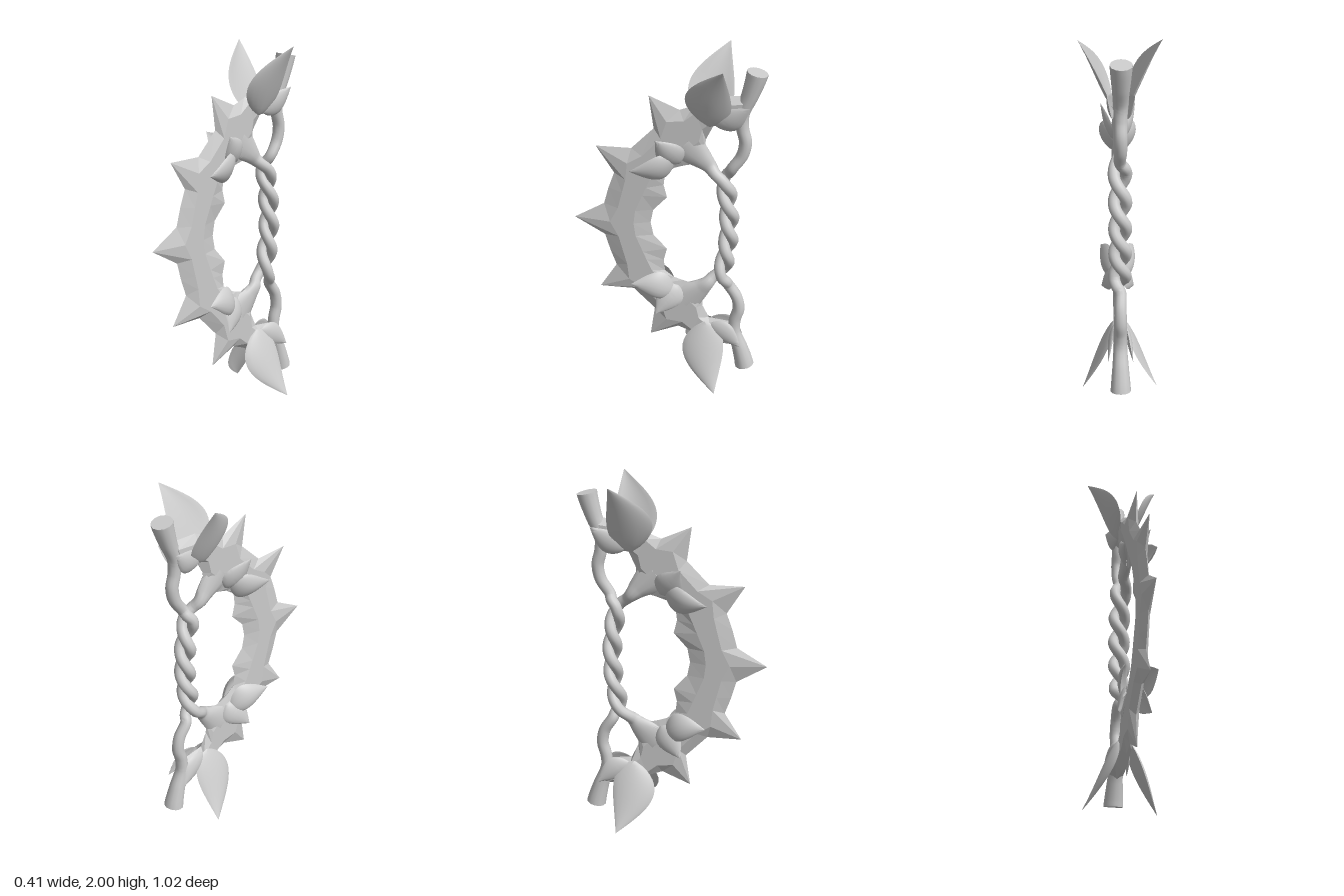
import * as THREE from 'three';
import { toCreasedNormals } from 'three/addons/utils/BufferGeometryUtils.js';

const V = (x, y, z) => new THREE.Vector3(x, y, z);
const { smoothstep, lerp } = THREE.MathUtils;

// Closed skin through equal-sized rings of points, capped at both ends
function loft(rings) {
  const n = rings[0].length, m = rings.length;
  const pts = rings.flat();
  const index = [];
  for (let i = 0; i < m - 1; i++) {
    for (let j = 0; j < n; j++) {
      const a = i * n + j, b = i * n + (j + 1) % n;
      index.push(a, b, a + n, b, b + n, a + n);
    }
  }
  [0, m - 1].forEach((r) => {
    const c = rings[r].reduce((s, p) => s.add(p), V(0, 0, 0)).divideScalar(n);
    const k = pts.push(c) - 1;
    for (let j = 0; j < n; j++) {
      const a = r * n + j, b = r * n + (j + 1) % n;
      if (r === 0) index.push(k, b, a);
      else index.push(k, a, b);
    }
  });
  // Turn the faces outward whichever way the rings run
  const mid = V(0, 1, 0), cross = V(0, 0, 0);
  let volume = 0;
  for (let i = 0; i < index.length; i += 3) {
    const [a, b, c] = [0, 1, 2].map((k) => pts[index[i + k]].clone().sub(mid));
    volume += a.dot(cross.crossVectors(b, c));
  }
  if (volume < 0) index.reverse();
  const geo = new THREE.BufferGeometry().setFromPoints(pts);
  geo.setIndex(index);
  return geo;
}

// Upper half of the thorned blade, from the middle up, as [z, y] pairs:
// outer edge, outer ridge, inner ridge, inner edge, then half thickness
const STATIONS = [
  [0.51, 1.0, 0.31, 1.0, 0.18, 1.0, 0.09, 1.0, 0.028],
  [0.345, 1.1, 0.265, 1.09, 0.17, 1.08, 0.075, 1.08, 0.028],
  [0.318, 1.2, 0.24, 1.19, 0.13, 1.18, 0.0, 1.165, 0.028],
  [0.285, 1.295, 0.22, 1.27, 0.11, 1.23, 0.018, 1.24, 0.028],
  [0.38, 1.45, 0.21, 1.37, 0.08, 1.3, 0.01, 1.31, 0.028],
  [0.19, 1.45, 0.13, 1.42, 0.02, 1.38, -0.04, 1.35, 0.028],
  [0.07, 1.575, 0.03, 1.53, -0.05, 1.44, -0.09, 1.367, 0.028],
  [0.095, 1.76, 0.0, 1.63, -0.11, 1.47, -0.14, 1.38, 0.028],
  [-0.065, 1.69, -0.09, 1.64, -0.17, 1.53, -0.2, 1.46, 0.028],
  [-0.14, 1.72, -0.15, 1.69, -0.185, 1.6, -0.203, 1.53, 0.028],
  [-0.25, 1.78, -0.255, 1.74, -0.25, 1.66, -0.24, 1.61, 0.034],
  [-0.39, 1.79, -0.39, 1.76, -0.37, 1.67, -0.36, 1.625, 0.04],
];

function bladeGeometry() {
  const ring = (s, sy) => {
    const at = (x, k) => V(x, 1 + sy * (s[k + 1] - 1), s[k]);
    const w = s[8];
    return [at(0, 0), at(w, 2), at(w, 4), at(0, 6), at(-w, 4), at(-w, 2)];
  };
  const lower = STATIONS.slice(1).reverse().map((s) => ring(s, -1));
  const geo = loft([...lower, ...STATIONS.map((s) => ring(s, 1))]).toNonIndexed();
  geo.computeVertexNormals();
  return geo;
}

// Vine paths as [z, y]: the cut stem above the twist, the flared root below it
const STEM = [[-0.455, 1.922], [-0.448, 1.89], [-0.423, 1.8], [-0.387, 1.69], [-0.39, 1.61],
  [-0.408, 1.53], [-0.394, 1.45]];
const ROOT = [[-0.19, 0.59], [-0.14, 0.545], [-0.09, 0.5]];

// Vine from the upper stem, through two and a half turns, into the lower blade
function vineGeometry() {
  const helix = [];
  for (let i = 0; i <= 25; i++) {
    const t = i / 25, a = Math.PI * (1 + 5 * t);
    const y = lerp(1.37, 0.63, t), d = Math.abs(y - 1);
    const axis = -0.34 + 0.045 * (d / 0.34) ** 2;
    const swing = 0.024 + 0.034 * smoothstep(d, 0.29, 0.37);
    helix.push(V(0.032 * Math.sin(a), y, axis + swing * Math.cos(a)));
  }
  const toPoint = ([z, y]) => V(0, y, z);
  const curve = new THREE.CatmullRomCurve3([...STEM.map(toPoint), ...helix, ...ROOT.map(toPoint)]);
  const steps = 160, sides = 12;
  const { normals, binormals } = curve.computeFrenetFrames(steps);
  const rings = [];
  for (let i = 0; i <= steps; i++) {
    const p = curve.getPointAt(i / steps);
    const r = 0.031 + 0.003 * smoothstep(p.y, 1.35, 1.55) + 0.027 * smoothstep(p.y, 1.6, 2.05)
      + 0.07 * smoothstep(-p.y, -0.67, -0.48);
    // The root flattens to the thickness of the blade
    const flat = p.y < 1 ? 0.031 / r : 1;
    const ring = [];
    for (let j = 0; j < sides; j++) {
      const a = (j / sides) * Math.PI * 2;
      const off = V(0, 0, 0)
        .addScaledVector(normals[i], r * Math.cos(a))
        .addScaledVector(binormals[i], r * Math.sin(a));
      off.x *= flat;
      ring.push(off.add(p));
    }
    rings.push(ring);
  }
  return toCreasedNormals(loft(rings), 0.8);
}

// Pointed, domed leaf of lens section; base and tip are [x, y, z]
function leafGeometry({ base, tip, half, bow = 0, dome, tilt = 0, curl = 1.3 }, sx, sy) {
  const dz = tip[2] - base[2], dy = tip[1] - base[1];
  const len = Math.hypot(dz, dy);
  const pz = -dy / len, py = dz / len;
  const rings = [];
  const steps = 20, sides = 16;
  for (let i = 0; i <= steps; i++) {
    const u = lerp(0.004, 0.998, i / steps);
    const w = Math.sin(Math.PI * u ** 0.7);
    const ring = [];
    for (let j = 0; j < sides; j++) {
      const a = (j / sides) * Math.PI * 2, v = Math.cos(a);
      const across = bow * Math.sin(Math.PI * u) + half * w * v;
      const x = lerp(base[0], tip[0], u ** curl)
        + dome * w * (1 - v * v) + tilt * w * v + 0.008 * w * Math.sin(a);
      const y = base[1] + dy * u + py * across;
      const z = base[2] + dz * u + pz * across;
      ring.push(V(sx * x, 1 + sy * (y - 1), z));
    }
    rings.push(ring);
  }
  return toCreasedNormals(loft(rings), 0.8);
}

const LEAVES = {
  largeLeaf: { base: [0.03, 1.62, -0.22], tip: [0.207, 2, -0.3], half: 0.12, bow: -0.036, dome: 0.027, curl: 1.45 },
  collarLeaf: { base: [0.03, 1.63, -0.25], tip: [0.068, 1.755, -0.43], half: 0.064, bow: 0.012, dome: 0.014 },
  upperSideLeaf: { base: [0.022, 1.39, -0.07], tip: [0.092, 1.55, 0.05], half: 0.075, dome: 0.021 },
  lowerSideLeaf: { base: [0.03, 1.425, -0.045], tip: [0.092, 1.36, 0.19], half: 0.075, bow: -0.03, dome: 0.022, tilt: 0.022, curl: 0.8 },
};

export function createModel() {
  const model = new THREE.Group();
  model.name = 'thornedBlade';
  const smooth = new THREE.MeshStandardMaterial({ color: 0xcccccc, side: THREE.DoubleSide });
  const faceted = new THREE.MeshStandardMaterial({ color: 0xcccccc, flatShading: true });
  const add = (name, geo, material) => {
    const mesh = new THREE.Mesh(geo, material);
    mesh.name = name;
    model.add(mesh);
  };

  // Crescent blade with thorns
  add('blade', bladeGeometry(), faceted);

  // Two twisted vines, the second being the first turned upside down
  const vine = vineGeometry();
  add('vine', vine, smooth);
  add('turnedVine', vine.clone().translate(0, -1, 0).rotateZ(Math.PI).translate(0, 1, 0), smooth);

  // Leaves on both faces, above and below
  for (const [name, leaf] of Object.entries(LEAVES)) {
    for (const sx of [1, -1]) {
      for (const sy of [1, -1]) add(name, leafGeometry(leaf, sx, sy), smooth);
    }
  }
  return model;
}
